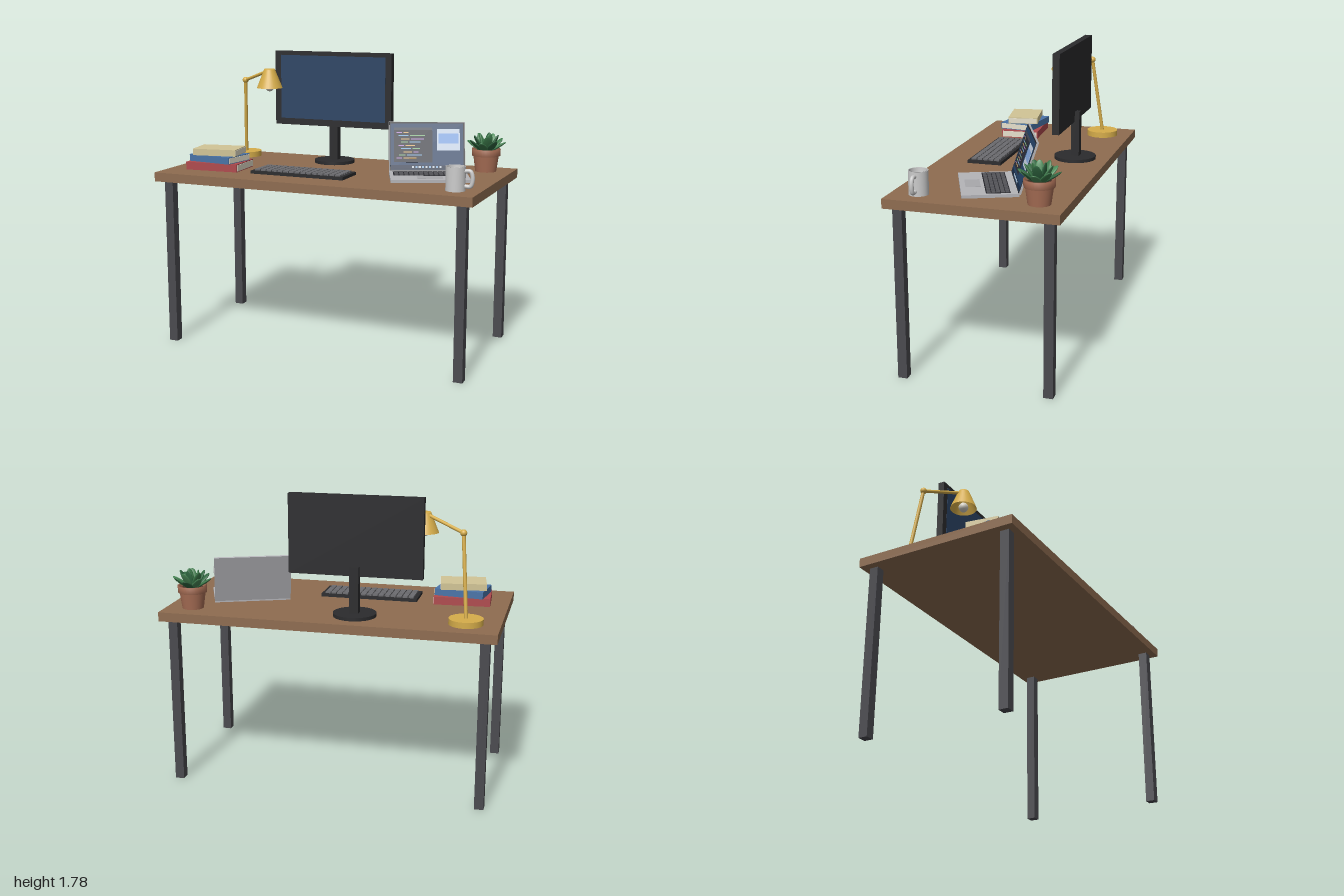
import * as THREE from 'three';

const TOP = 1.075; // desk surface height

function mat(color, extra = {}) {
  return new THREE.MeshStandardMaterial({ color, ...extra });
}

function add(parent, name, geometry, material, x = 0, y = 0, z = 0) {
  const mesh = new THREE.Mesh(geometry, material);
  mesh.name = name;
  mesh.position.set(x, y, z);
  parent.add(mesh);
  return mesh;
}

function box(parent, name, w, h, d, material, x, y, z) {
  return add(parent, name, new THREE.BoxGeometry(w, h, d), material, x, y, z);
}

function group(parent, name, x = 0, y = 0, z = 0, turn = 0) {
  const g = new THREE.Group();
  g.name = name;
  g.position.set(x, y, z);
  g.rotation.y = turn;
  parent.add(g);
  return g;
}

// Round bar between two points
function rod(parent, name, a, b, r, material) {
  const dir = b.clone().sub(a);
  const m = add(parent, name, new THREE.CylinderGeometry(r, r, dir.length(), 16), material);
  m.position.copy(a).add(b).multiplyScalar(0.5);
  m.quaternion.setFromUnitVectors(new THREE.Vector3(0, 1, 0), dir.normalize());
}

function lathe(points) {
  return new THREE.LatheGeometry(points.map(([x, y]) => new THREE.Vector2(x, y)), 32);
}

// Rows of key caps filling a w x d field
function keys(parent, cols, rows, w, d, h, material, y, z) {
  const px = w / cols, pz = d / rows;
  for (let r = 0; r < rows; r++) {
    for (let c = 0; c < cols; c++) {
      box(parent, 'key', px * 0.82, h, pz * 0.82, material,
        (c + 0.5) * px - w / 2, y, z + (r + 0.5) * pz - d / 2);
    }
  }
}

function buildDesk(root) {
  const g = group(root, 'desk');
  box(g, 'desktop', 2, 0.055, 1, mat(0x8e6c50), 0, TOP - 0.0275, 0);
  const metal = mat(0x4a4a4f);
  for (const x of [-0.928, 0.928]) for (const z of [-0.43, 0.43]) {
    box(g, 'leg', 0.055, 1.02, 0.055, metal, x, 0.51, z);
  }
}

function buildMonitor(root) {
  const g = group(root, 'monitor', -0.145, TOP, -0.27);
  const black = mat(0x2b2b2d);
  box(g, 'monitorCasing', 0.796, 0.47, 0.043, black, 0, 0.47, 0);
  box(g, 'monitorScreen', 0.716, 0.405, 0.004, mat(0x2c4464), 0, 0.478, 0.0205);
  box(g, 'monitorNeck', 0.055, 0.28, 0.05, black, 0, 0.155, -0.025);
  add(g, 'monitorBase', new THREE.CylinderGeometry(0.128, 0.128, 0.02, 48), black, 0, 0.01, -0.02);
}

function buildKeyboard(root) {
  const g = group(root, 'keyboard', -0.142, TOP, 0.2);
  box(g, 'keyboardCase', 0.604, 0.018, 0.21, mat(0x2b2b2d), 0, 0.009, 0);
  keys(g, 15, 5, 0.565, 0.18, 0.012, mat(0x6c6c70), 0.022, 0);
}

function buildBooks(root) {
  const g = group(root, 'books', -0.715, TOP, 0.2);
  const paper = mat(0xe6e0cc);
  const books = [ // width, height, depth, turn, colour
    [0.342, 0.048, 0.24, 0.06, 0xb04a4e],
    [0.3, 0.042, 0.215, -0.14, 0x4a74a8],
    [0.276, 0.04, 0.195, 0.155, 0xd2c596],
  ];
  let y = 0;
  for (const [w, h, d, turn, color] of books) {
    const b = group(g, 'book', 0, y + h / 2, 0, turn);
    box(b, 'cover', w, h, d, mat(color), 0, 0, 0);
    box(b, 'pages', w * 0.5, h * 0.78, d * 0.96, paper, w * 0.25 + 0.003, 0, 0);
    y += h;
  }
}

function buildLamp(root) {
  const g = group(root, 'lamp');
  const brass = mat(0xd6ad4a, { side: THREE.DoubleSide });
  const foot = new THREE.Vector3(-0.8, TOP + 0.03, -0.315);
  const elbow = new THREE.Vector3(-0.762, 1.586, -0.247);
  const head = new THREE.Vector3(-0.52, 1.665, -0.116);
  add(g, 'lampBase', new THREE.CylinderGeometry(0.1, 0.1, 0.035, 40), brass, foot.x, TOP + 0.0175, foot.z);
  rod(g, 'lowerArm', foot, elbow, 0.011, brass);
  rod(g, 'upperArm', elbow, head, 0.01, brass);
  add(g, 'elbowJoint', new THREE.SphereGeometry(0.02, 20, 14), brass, elbow.x, elbow.y, elbow.z);
  // Open cone shade with a closed crown
  add(g, 'lampShade', lathe([[0.082, 0], [0.036, 0.113], [0.033, 0.12], [0, 0.121]]), brass, head.x, 1.554, head.z);
  add(g, 'bulb', new THREE.SphereGeometry(0.03, 20, 14), mat(0xd8d4c8), head.x, 1.562, head.z);
}

function buildLaptop(root) {
  const W = 0.463, D = 0.315, H = 0.305;
  const g = group(root, 'laptop', 0.598, TOP, 0.029, 0.391);
  const silver = mat(0xb4b4b8);
  const dark = mat(0x25252a);
  box(g, 'laptopBase', W, 0.018, D, silver, 0, 0.009, 0);
  box(g, 'keyTray', 0.42, 0.002, 0.135, dark, 0, 0.0185, -0.045);
  keys(g, 14, 5, 0.412, 0.128, 0.005, mat(0x55555a), 0.021, -0.045);
  box(g, 'trackpad', 0.15, 0.002, 0.085, mat(0xa8a8ac), 0, 0.0181, 0.085);

  // Lid leans back around the hinge
  const lid = group(g, 'lid', 0, 0.014, -D / 2 + 0.004);
  lid.rotation.x = -0.33;
  box(lid, 'lidShell', W, H, 0.012, silver, 0, H / 2, -0.006);
  box(lid, 'lidBezel', W - 0.006, H - 0.006, 0.002, dark, 0, H / 2, 0.0005);
  // Flat screen item given by fractions of the lid
  const item = (name, u0, u1, v0, v1, color, layer) =>
    box(lid, name, (u1 - u0) * W, (v1 - v0) * H, 0.001, mat(color),
      ((u0 + u1) / 2 - 0.5) * W, (v0 + v1) / 2 * H, 0.0015 + layer * 0.001);
  item('laptopScreen', 0.025, 0.975, 0.035, 0.965, 0x24446a, 0);
  item('codeWindow', 0.07, 0.57, 0.18, 0.88, 0x2c2f3a, 1);
  item('codeTitleBar', 0.07, 0.57, 0.83, 0.88, 0x454a58, 2);
  item('imageWindow', 0.63, 0.93, 0.42, 0.85, 0xc6d2e2, 1);
  item('imagePane', 0.65, 0.91, 0.56, 0.76, 0x86aae0, 2);
  // Coloured bars in the code window
  const tints = [0xb58ad0, 0x7fb0d8, 0xd8b070, 0x86b886];
  const indents = [0, 0.03, 0.06, 0.06, 0.03, 0.06, 0.09, 0.03, 0];
  indents.forEach((indent, i) => {
    const v = 0.77 - i * 0.065, u = 0.1 + indent;
    const first = 0.07 + (i * 3 % 4) * 0.02, second = 0.09 + (i * 5 % 6) * 0.025;
    item('codeBar', u, u + first, v, v + 0.02, tints[i % 4], 2);
    item('codeBar', u + first + 0.02, u + first + second, v, v + 0.02, tints[(i + 2) % 4], 2);
  });
  item('taskBar', 0.025, 0.975, 0.045, 0.12, 0x1b2f4c, 1);
  for (let i = 0; i < 9; i++) {
    const u = 0.3 + i * 0.045;
    item('taskTile', u, u + 0.027, 0.065, 0.105, i % 2 ? 0x8fb4d8 : 0xc8d0d8, 2);
  }
}

function buildMug(root) {
  const g = group(root, 'mug', 0.855, TOP, 0.34);
  const china = mat(0xcccccc, { side: THREE.DoubleSide });
  add(g, 'mugOutside', new THREE.CylinderGeometry(0.056, 0.056, 0.136, 32, 1, true), china, 0, 0.069, 0);
  add(g, 'mugInside', lathe([[0, 0.014], [0.049, 0.014], [0.049, 0.137], [0.056, 0.137]]), china);
  add(g, 'mugBottom', new THREE.CylinderGeometry(0.056, 0.056, 0.004, 32), china, 0, 0.002, 0);
  const path = new THREE.CatmullRomCurve3([[0.05, 0.112], [0.085, 0.112], [0.096, 0.09], [0.096, 0.05], [0.085, 0.028], [0.05, 0.028]]
    .map(([x, y]) => new THREE.Vector3(x, y, 0)));
  add(g, 'mugHandle', new THREE.TubeGeometry(path, 32, 0.012, 12), china);
}

function buildPlant(root) {
  const g = group(root, 'plant', 0.84, TOP, -0.343);
  const clay = mat(0xa86e55, { side: THREE.DoubleSide });
  add(g, 'potBody', new THREE.CylinderGeometry(0.078, 0.064, 0.1, 32), clay, 0, 0.05, 0);
  add(g, 'potRim', lathe([[0.074, 0.097], [0.086, 0.097], [0.088, 0.139], [0.076, 0.139], [0.074, 0.118]]), clay);
  add(g, 'soil', new THREE.CylinderGeometry(0.077, 0.077, 0.02, 32), mat(0x3f2e24), 0, 0.11, 0);
  // Fat leaf along +y, tapering at both ends
  const leaf = new THREE.SphereGeometry(1, 14, 10);
  leaf.scale(0.027, 0.062, 0.009);
  leaf.translate(0, 0.062, 0);
  const greens = [0x3c7a4a, 0x2f6640, 0x4a8a58];
  const rings = [[8, 1.0, 1.0, 0], [5, 0.55, 1.0, 0.35], [3, 0.2, 0.95, 0.8]]; // count, lean, size, phase
  for (const [count, lean, size, phase] of rings) {
    for (let i = 0; i < count; i++) {
      const a = phase + i / count * Math.PI * 2;
      const m = add(g, 'leaf', leaf, mat(greens[i % 3]), Math.sin(a) * 0.016, 0.118, Math.cos(a) * 0.016);
      m.rotation.set(lean * (1 - 0.12 * (i % 2)), a, 0, 'YXZ');
      m.scale.setScalar(size);
    }
  }
}

export function createModel() {
  const root = new THREE.Group();
  root.name = 'deskWorkspace';
  for (const build of [buildDesk, buildMonitor, buildKeyboard, buildBooks, buildLamp, buildLaptop, buildMug, buildPlant]) {
    build(root);
  }
  return root;
}
